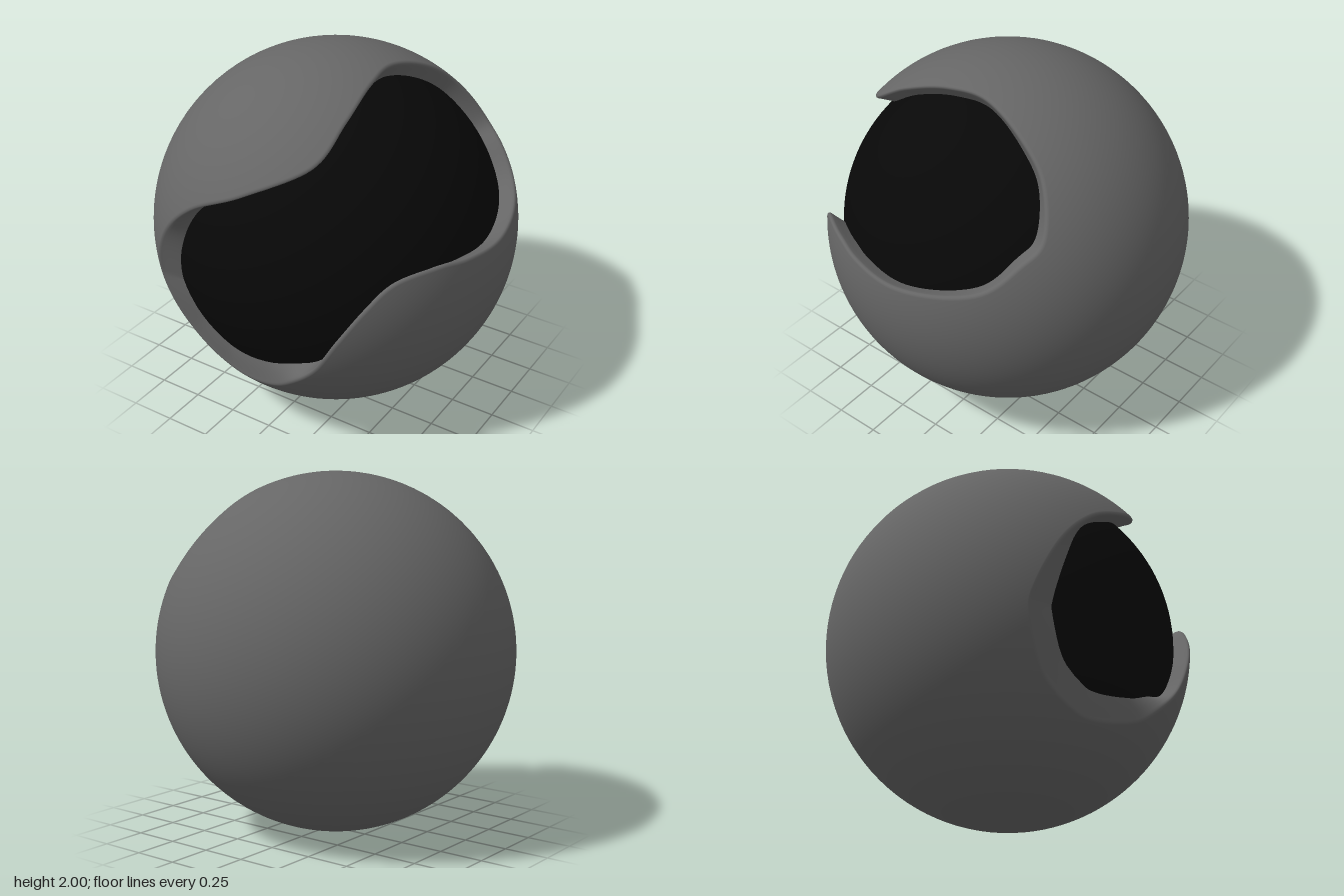
import * as THREE from 'three';

// Opening rim as directions from the ball centre, with the inward slant of the wall at each point
const RIM = [
  [0.34, 0.84, 0.42, -0.06], [0.30, 0.68, 0.67, -0.06], [0.00, 0.52, 0.854, -0.06],
  [-0.30, 0.37, 0.88, -0.03], [-0.50, 0.17, 0.85, 0.06], [-0.62, -0.10, 0.78, 0.12],
  [-0.62, -0.25, 0.74, 0.14], [-0.50, -0.50, 0.707, 0.15], [-0.30, -0.63, 0.716, 0.14],
  [-0.15, -0.655, 0.74, 0.13], [0.10, -0.60, 0.794, 0.10], [0.25, -0.50, 0.83, 0.04],
  [0.40, -0.36, 0.843, -0.06], [0.53, -0.15, 0.835, -0.06], [0.65, 0.05, 0.758, -0.06],
  [0.75, 0.18, 0.636, -0.06], [0.88, 0.21, 0.425, -0.05], [0.95, 0.19, 0.25, -0.04],
  [0.98, 0.175, -0.06, -0.03], [0.85, 0.25, -0.46, 0], [0.684, 0.40, -0.61, 0.02],
  [0.567, 0.50, -0.655, 0.02], [0.443, 0.70, -0.56, 0], [0.378, 0.83, -0.41, -0.01],
  [0.30, 0.95, -0.10, -0.03], [0.315, 0.94, 0.14, -0.04],
];
const CORE_RADIUS = 0.91;

function shellGeometry() {
  const columns = 260, sweep = 56;
  const closed = (points) => new THREE.CatmullRomCurve3(points, true, 'catmullrom', 0.5);
  const rim = closed(RIM.map(([x, y, z]) => new THREE.Vector3(x, y, z).normalize()));
  const slant = closed(RIM.map((p) => new THREE.Vector3(p[3], 0, 0)));
  const pole = new THREE.Vector3(-0.6, -0.5, -0.62).normalize();

  // Cross-section: radius, share of the slant, extra slide (rounds the lip)
  const section = [
    [0.895, 1.05, 0], [0.925, 0.72, 0], [0.955, 0.38, 0], [0.98, 0.1, 0],
    [0.99, 0.02, -0.002], [0.997, 0, -0.007], [1, 0, -0.016], [1, 0, -0.022],
  ];
  const rows = section.length + sweep;
  const positions = [], indices = [];

  for (let i = 0; i < rows; i++) {
    for (let j = 0; j < columns; j++) {
      const t = j / columns;
      const dir = rim.getPoint(t).normalize();
      const inward = new THREE.Vector3().crossVectors(dir, rim.getTangent(t)).normalize();
      const [radius, share, extra] = section[Math.min(i, section.length - 1)];
      dir.addScaledVector(inward, share * slant.getPoint(t).x + extra).normalize();
      if (i >= section.length) {
        // Sweep over the ball to the far pole
        const u = Math.pow((i - section.length + 1) / sweep, 1.3);
        const w = dir.angleTo(pole);
        dir.multiplyScalar(Math.sin((1 - u) * w)).addScaledVector(pole, Math.sin(u * w)).normalize();
      }
      positions.push(...dir.multiplyScalar(radius).toArray());
    }
  }
  for (let i = 0; i < rows - 1; i++) {
    for (let j = 0; j < columns; j++) {
      const k = (j + 1) % columns;
      const a = i * columns + j, b = a + columns;
      const c = i * columns + k, d = c + columns;
      indices.push(a, b, c);
      if (i < rows - 2) indices.push(c, b, d);
    }
  }
  const geometry = new THREE.BufferGeometry();
  geometry.setAttribute('position', new THREE.Float32BufferAttribute(positions, 3));
  geometry.setIndex(indices);
  geometry.computeVertexNormals();
  return geometry;
}

export function createModel() {
  const model = new THREE.Group();
  model.name = 'visorBall';

  // Outer shell with the double-lobed opening and its wall
  const shell = new THREE.Mesh(
    shellGeometry(),
    new THREE.MeshStandardMaterial({ color: 0x666666, side: THREE.DoubleSide }),
  );
  shell.name = 'outerShell';

  // Dark ball seen through the opening
  const core = new THREE.Mesh(
    new THREE.SphereGeometry(CORE_RADIUS, 96, 64),
    new THREE.MeshStandardMaterial({ color: 0x080808 }),
  );
  core.name = 'innerBall';

  for (const part of [shell, core]) {
    part.position.set(0, 1, 0.06);
    model.add(part);
  }
  return model;
}
